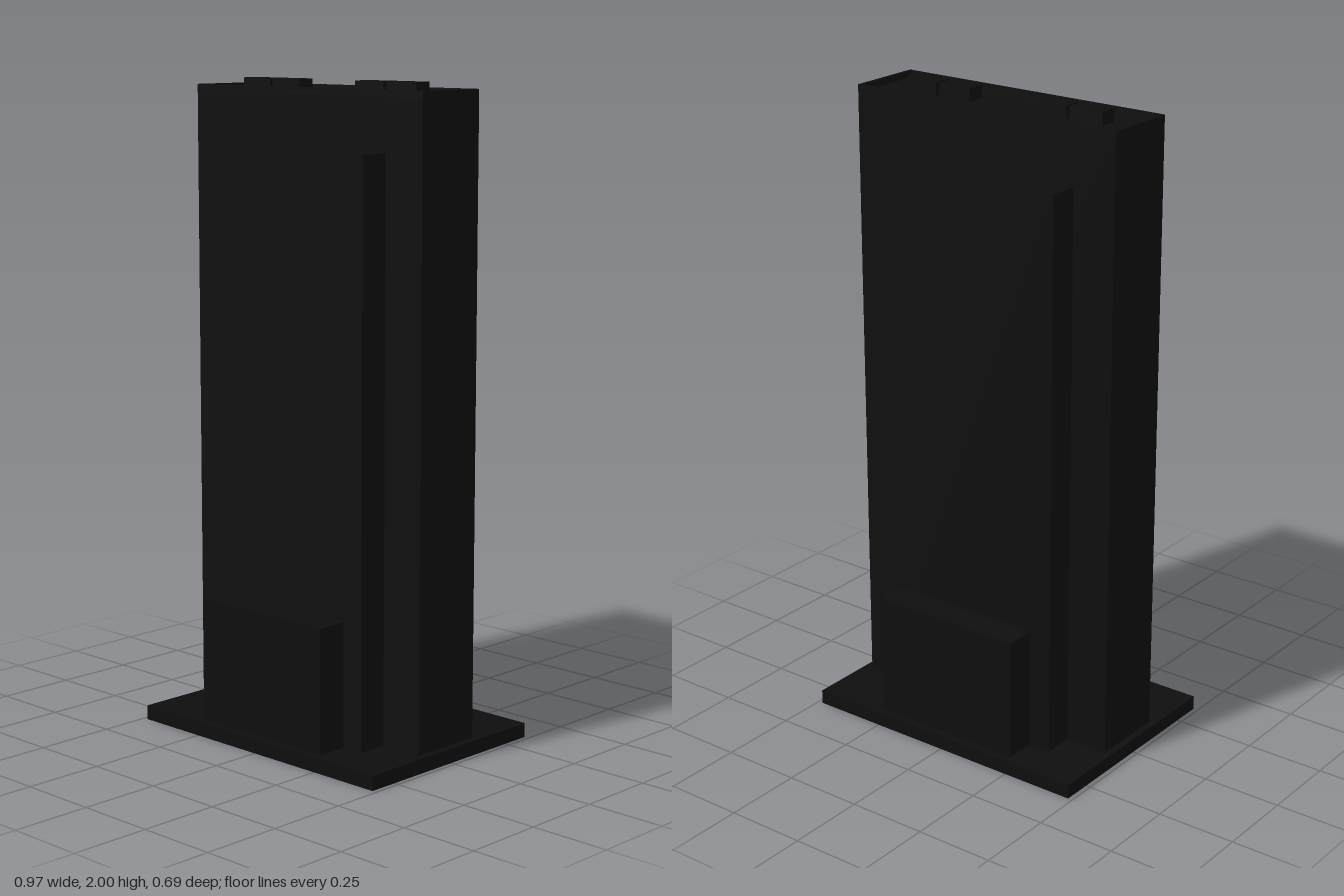
import * as THREE from 'three';

export function createModel() {
  const model = new THREE.Group();
  model.name = 'tower';
  const black = new THREE.MeshStandardMaterial({ color: 0x0e0e0e });
  black.name = 'black';

  // Box given by its size, its bottom height and its centre
  const block = (name, w, d, y0, y1, x = 0, z = 0) => {
    const mesh = new THREE.Mesh(new THREE.BoxGeometry(w, y1 - y0, d), black);
    mesh.name = name;
    mesh.position.set(x, (y0 + y1) / 2, z);
    model.add(mesh);
  };

  block('plinth', 0.97, 0.685, 0, 0.045);

  // Main slab, with a sunken roof behind a thin parapet
  const W = 0.925, D = 0.242, top = 1.98, roof = 1.96, t = 0.012;
  block('mainSlab', W, D, 0.045, roof);
  for (const s of [-1, 1]) {
    block('parapetLong', W, t, roof, top, 0, s * (D - t) / 2);
    block('parapetShort', t, D - 2 * t, roof, top, s * (W - t) / 2, 0);

    // Stepped bays on the front and back
    block('tallBay', 0.645, 0.096, 0.045, 1.8, 0, s * 0.169);
    block('lowBay', 0.5, 0.098, 0.045, 0.43, 0, s * 0.266);

    // Pairs of rooftop plant boxes
    for (const x of [0.172, 0.297]) {
      block('roofUnit', 0.113, 0.058, roof, 2, s * x, 0);
    }
  }
  return model;
}
